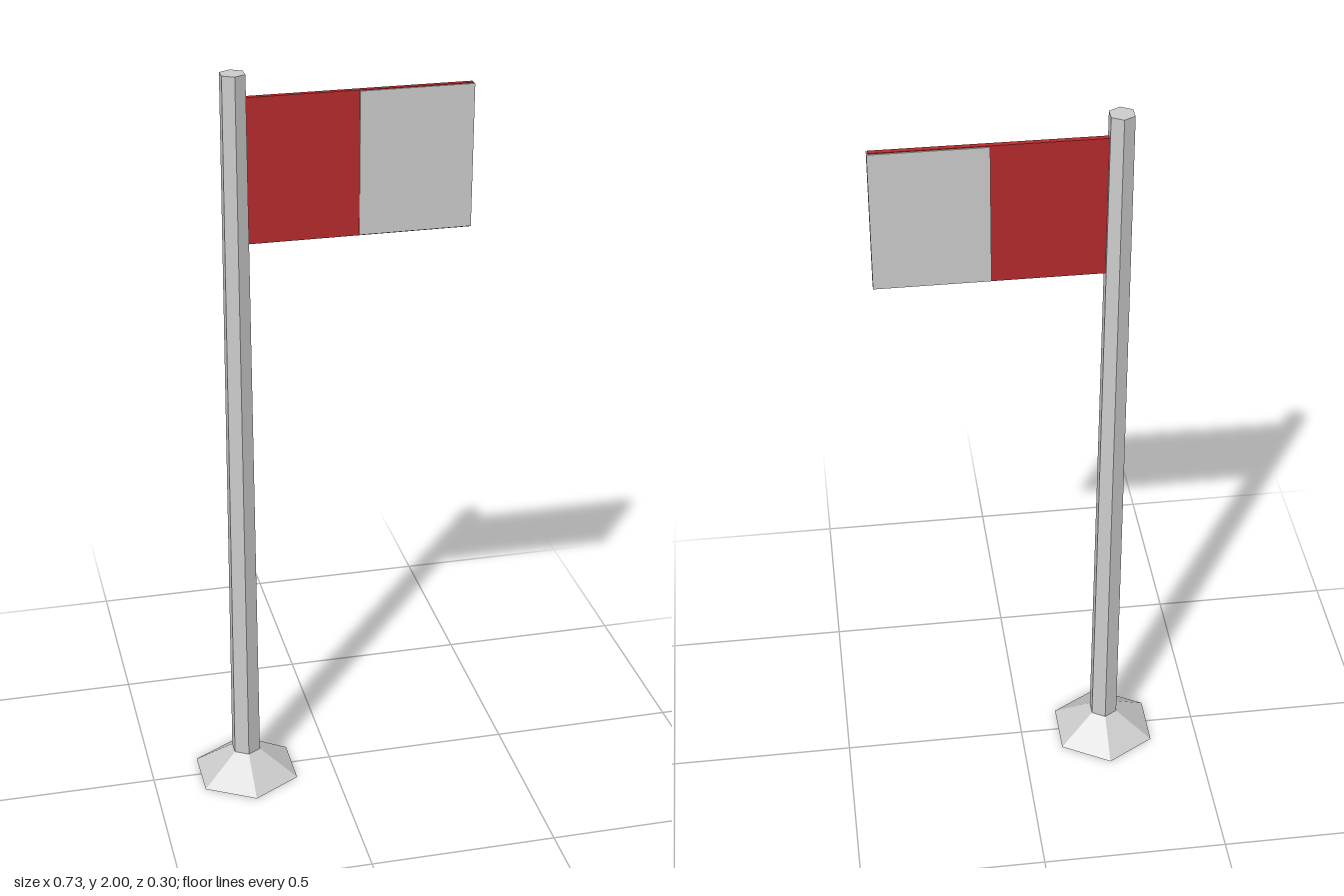
import * as THREE from 'three';

export function createModel() {
  const group = new THREE.Group();
  const grey = new THREE.MeshStandardMaterial({ color: 0xcccccc, flatShading: true });
  const red = new THREE.MeshStandardMaterial({ color: 0xb52a2c, flatShading: true });
  const poleX = -0.238;

  const add = (name, geometry, material, x, y) => {
    const mesh = new THREE.Mesh(geometry, material);
    mesh.name = name;
    mesh.position.set(x, y, 0);
    group.add(mesh);
  };
  // Upright panel given by its left, right, bottom and top edges
  const panel = (name, material, x0, x1, y0, y1, depth) =>
    add(name, new THREE.BoxGeometry(x1 - x0, y1 - y0, depth), material, (x0 + x1) / 2, (y0 + y1) / 2);

  // Hexagonal foot and slightly tapered hexagonal pole
  add('base', new THREE.CylinderGeometry(0.04, 0.149, 0.074, 6), grey, poleX, 0.037);
  add('pole', new THREE.CylinderGeometry(0.0335, 0.041, 2, 6), grey, poleX, 1);

  // Red flag with a pale sleeve over its outer half
  panel('flag', red, -0.225, 0.362, 1.565, 1.94, 0.014);
  panel('flagOuterHalf', grey, 0.075, 0.365, 1.567, 1.938, 0.021);

  return group;
}
